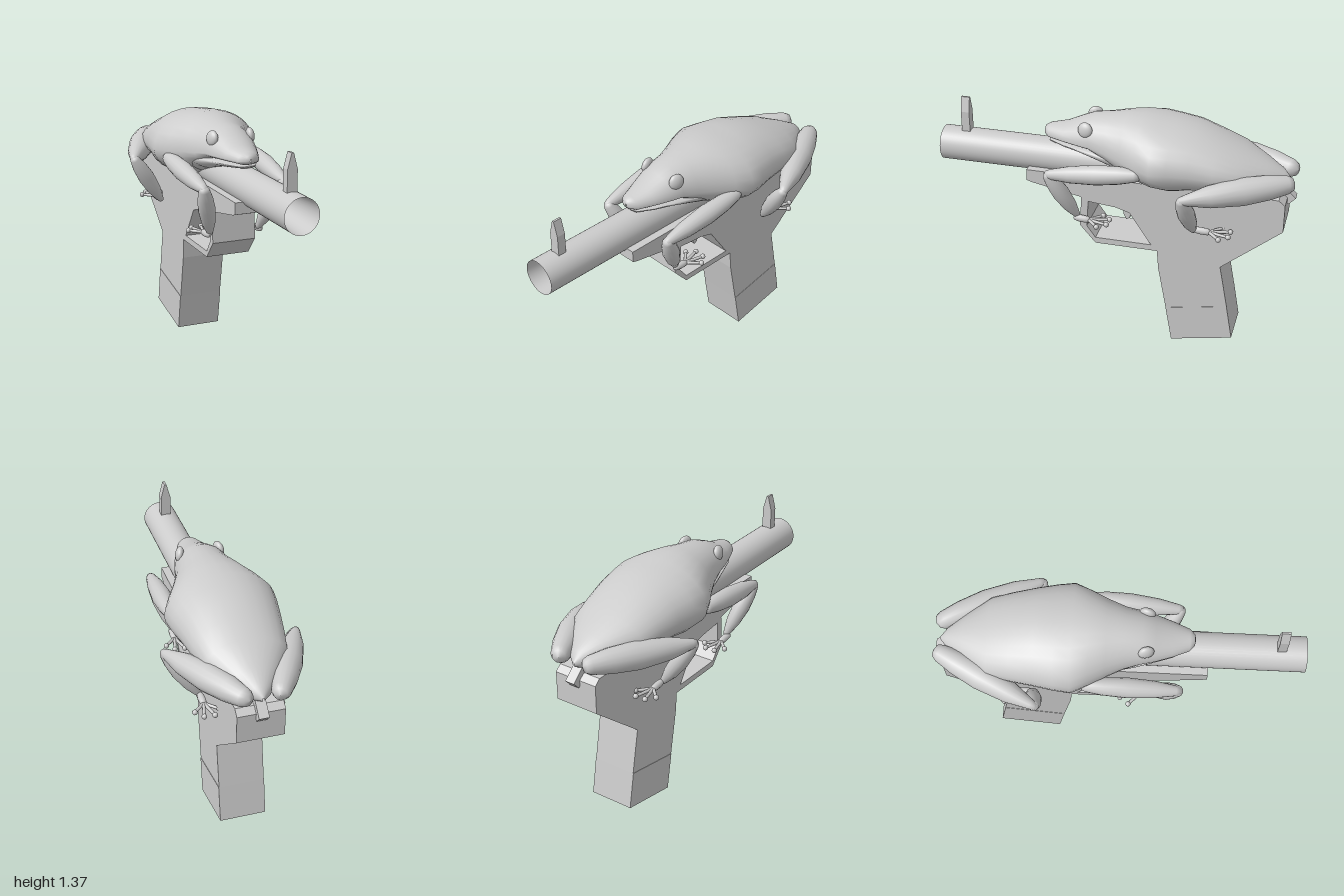
import * as THREE from 'three';

const grey = new THREE.MeshStandardMaterial({ color: 0xcccccc });
const greyDouble = new THREE.MeshStandardMaterial({ color: 0xcccccc, side: THREE.DoubleSide });
const CX = 0.008; // shared centre line of frame and barrel
const V = (x, y, z) => new THREE.Vector3(x, y, z);

function add(parent, name, geometry, material = grey) {
  const mesh = new THREE.Mesh(geometry, material);
  mesh.name = name;
  parent.add(mesh);
  return mesh;
}

// Side profile given as [z, y] points, extruded across x
function slab(points, width, holes = []) {
  const toPts = (list) => list.map(([z, y]) => new THREE.Vector2(z, y));
  const shape = new THREE.Shape(toPts(points));
  for (const h of holes) shape.holes.push(new THREE.Path(toPts(h)));
  const g = new THREE.ExtrudeGeometry(shape, { depth: width, bevelEnabled: false });
  return g.rotateY(-Math.PI / 2).translate(CX + width / 2, 0, 0);
}

// Skin over oval sections [z, halfWidth, top, middle, bottom], running front to back
function loft(sections, sides = 28) {
  const pos = [], idx = [];
  for (const [z, w, top, mid, bottom] of sections) {
    for (let j = 0; j < sides; j++) {
      const a = (j / sides) * Math.PI * 2, s = Math.sin(a);
      pos.push(0.004 + w * Math.cos(a), mid + s * (s > 0 ? top - mid : mid - bottom), z);
    }
  }
  for (let i = 0; i < sections.length - 1; i++) {
    for (let j = 0; j < sides; j++) {
      const k = (j + 1) % sides, a = i * sides + j, d = i * sides + k;
      idx.push(a, a + sides, d, a + sides, d + sides, d);
    }
  }
  const g = new THREE.BufferGeometry();
  g.setAttribute('position', new THREE.Float32BufferAttribute(pos, 3));
  g.setIndex(idx);
  g.computeVertexNormals();
  return g;
}

// Rounded, swelling limb from a to b with start, middle and end radii
function limb(a, b, r0, r1, r2, sides = 16) {
  const dir = b.clone().sub(a), len = dir.length();
  const p = [[0, -r0 * 0.6], [r0 * 0.7, -r0 * 0.35], [r0, 0.02 * len], [(r0 + r1 * 2) / 3, 0.2 * len],
    [r1, 0.45 * len], [(r1 * 2 + r2) / 3, 0.75 * len], [r2, 0.97 * len],
    [r2 * 0.7, len + r2 * 0.35], [0, len + r2 * 0.6]];
  const g = new THREE.LatheGeometry(p.map(([x, y]) => new THREE.Vector2(x, y)), sides);
  g.applyQuaternion(new THREE.Quaternion().setFromUnitVectors(V(0, 1, 0), dir.normalize()));
  return g.translate(a.x, a.y, a.z);
}

// Foot with splayed toes ending in round pads
function foot(parent, name, wrist, length, side) {
  const group = new THREE.Group();
  group.name = name;
  const palm = wrist.clone().add(V(0, -0.006, -length * 0.4));
  add(group, 'palm', limb(wrist, palm, 0.016, 0.02, 0.018, 10));
  for (const [angle, reach] of [[-0.75, 0.5], [-0.25, 0.62], [0.25, 0.6], [0.8, 0.48]]) {
    const tip = palm.clone().add(V(side * Math.sin(angle), 0, -Math.cos(angle)).multiplyScalar(length * reach));
    add(group, 'toe', limb(palm, tip, 0.01, 0.009, 0.008, 8));
    add(group, 'toePad', new THREE.SphereGeometry(0.015, 10, 8).translate(tip.x, tip.y, tip.z));
  }
  parent.add(group);
}

function buildGun() {
  const gun = new THREE.Group();
  gun.name = 'pistol';

  // Frame, grip and trigger guard in one profile
  add(gun, 'frame', slab([
    [0.48, 1.0], [0.48, 0.935], [0.45, 0.925], [0.165, 0.87], [0.175, 0.69], [0.085, 0.585],
    [-0.27, 0.585], [-0.28, 0.47], [-0.328, 0.212], [-0.678, 0.28], [-0.63, 0.535],
    [-0.96, 0.81], [-0.96, 0.97], [-0.925, 1.0],
  ], 0.255, [[[0.125, 0.847], [-0.03, 0.832], [-0.11, 0.808], [-0.235, 0.62], [0.085, 0.62], [0.135, 0.69]]]));
  add(gun, 'gripBase', slab([[-0.328, 0.212], [-0.365, 0], [-0.715, 0.07], [-0.678, 0.28]], 0.259));
  add(gun, 'trigger', slab([[-0.03, 0.84], [-0.055, 0.79], [-0.055, 0.74], [-0.07, 0.71],
    [-0.09, 0.72], [-0.1, 0.77], [-0.13, 0.82]], 0.07));

  // Hollow barrel: outer wall and tapering bore
  for (const [name, pts] of [['barrelWall', [[0, -0.6], [0.097, -0.6], [0.097, -0.6], [0.097, 1]]],
    ['barrelBore', [[0.097, 1], [0, -0.4]]]]) {
    const g = new THREE.LatheGeometry(pts.map(([x, y]) => new THREE.Vector2(x, y)), 40);
    add(gun, name, g.rotateX(Math.PI / 2).translate(CX, 1.05, 0), greyDouble);
  }

  // Pointed front sight
  const blade = new THREE.Shape([[-0.028, 1.13], [0.028, 1.13], [0.028, 1.26], [0.006, 1.343], [-0.006, 1.343],
    [-0.028, 1.26]].map(([x, y]) => new THREE.Vector2(x, y)));
  add(gun, 'frontSight', new THREE.ExtrudeGeometry(blade, { depth: 0.048, bevelEnabled: false })
    .translate(CX, 0, 0.838));

  // Tilted hammer at the back
  add(gun, 'hammer', new THREE.BoxGeometry(0.055, 0.055, 0.1).rotateX(-0.75).translate(CX, 0.985, -0.95));
  return gun;
}

function buildFrog() {
  const frog = new THREE.Group();
  frog.name = 'frog';

  add(frog, 'body', loft([
    [0.402, 0.004, 1.205, 1.195, 1.19], [0.397, 0.03, 1.225, 1.195, 1.178], [0.37, 0.062, 1.24, 1.19, 1.168],
    [0.28, 0.1, 1.258, 1.19, 1.165], [0.19, 0.13, 1.3, 1.19, 1.16], [0.12, 0.147, 1.328, 1.19, 1.15],
    [0.03, 0.17, 1.34, 1.175, 1.09], [-0.07, 0.215, 1.358, 1.165, 1.03], [-0.16, 0.265, 1.365, 1.155, 1.0],
    [-0.25, 0.307, 1.358, 1.15, 0.985], [-0.34, 0.295, 1.347, 1.15, 0.966], [-0.45, 0.274, 1.333, 1.145, 0.985],
    [-0.58, 0.25, 1.285, 1.13, 0.99], [-0.7, 0.222, 1.238, 1.115, 1.0], [-0.84, 0.125, 1.17, 1.09, 1.01],
    [-0.93, 0.055, 1.12, 1.07, 1.025], [-0.972, 0.004, 1.07, 1.06, 1.05],
  ]));
  add(frog, 'lowerJaw', loft([
    [0.378, 0.004, 1.163, 1.16, 1.157], [0.365, 0.045, 1.166, 1.158, 1.147], [0.28, 0.09, 1.166, 1.155, 1.135],
    [0.18, 0.122, 1.166, 1.15, 1.12], [0.08, 0.15, 1.17, 1.14, 1.09], [-0.05, 0.17, 1.17, 1.12, 1.04],
    [-0.1, 0.004, 1.13, 1.12, 1.11],
  ]));

  for (const side of [1, -1]) {
    const prefix = side > 0 ? 'left' : 'right';
    const P = (x, y, z) => V(0.004 + side * x, y, z);

    // Eye
    const eye = add(frog, prefix + 'Eye', new THREE.SphereGeometry(1, 20, 14));
    eye.scale.set(0.024, 0.043, 0.043);
    eye.position.copy(P(0.112, 1.275, 0.142));
    eye.rotation.set(0, -side * 0.25, side * 0.15);

    // Front leg
    const elbow = P(0.235, 1.045, 0.325), wrist = P(0.145, 0.76, 0.185);
    add(frog, prefix + 'UpperArm', limb(P(0.25, 1.112, -0.18), elbow, 0.035, 0.055, 0.028));
    add(frog, prefix + 'Forearm', limb(elbow, wrist, 0.03, 0.048, 0.02));
    foot(frog, prefix + 'FrontFoot', P(0.155, 0.75, 0.195), 0.19, side);

    // Hind leg
    const knee = P(0.36, 1.055, -0.44), ankle = P(0.185, 0.785, -0.48);
    add(frog, prefix + 'Thigh', limb(P(0.09, 1.085, -0.97), knee, 0.05, 0.076, 0.028));
    add(frog, prefix + 'Shin', limb(knee, ankle, 0.028, 0.048, 0.02));
    foot(frog, prefix + 'HindFoot', P(0.185, 0.79, -0.49), 0.19, side);
  }
  return frog;
}

export function createModel() {
  const model = new THREE.Group();
  model.name = 'frogOnPistol';
  model.add(buildGun(), buildFrog());
  return model;
}
